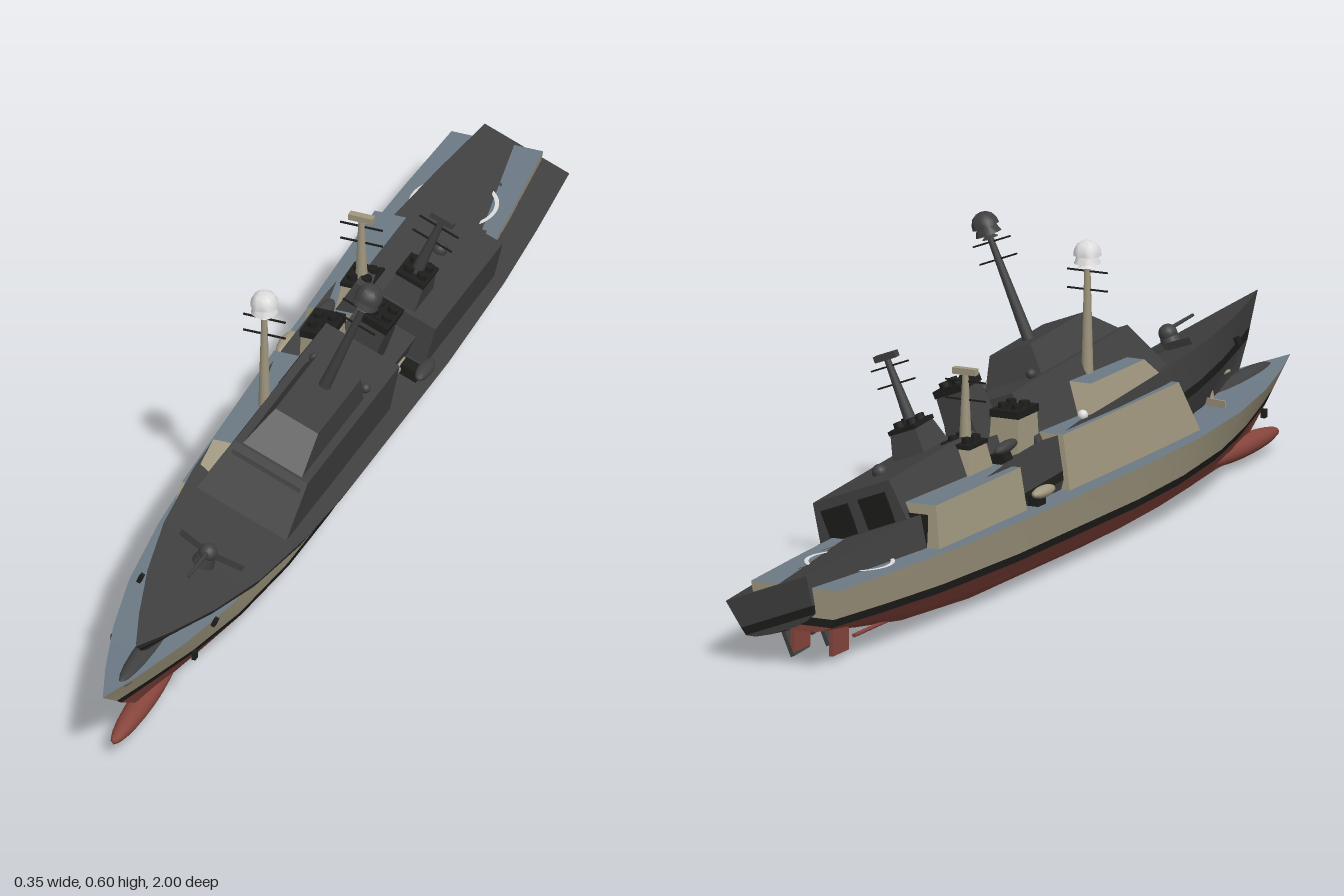
import * as THREE from 'three';
import { toCreasedNormals } from 'three/addons/utils/BufferGeometryUtils.js';

const paint = (name, color) => {
  const m = new THREE.MeshStandardMaterial({ color, side: THREE.DoubleSide });
  m.name = name;
  return m;
};

// Hull lines, bottom to deck: half-breadth, height amidships / bow / stern, bow end, fineness
const LINES = [
  { w: 0.045, y: 0.0, bow: 0.012, stern: 0.066, z: 0.76, p: 1.5 },
  { w: 0.092, y: 0.03, bow: 0.045, stern: 0.07, z: 0.83, p: 1.3 },
  { w: 0.115, y: 0.064, bow: 0.093, stern: 0.078, z: 0.905, p: 1.15 },
  { w: 0.119, y: 0.08, bow: 0.112, stern: 0.094, z: 0.93, p: 1.1 },
  { w: 0.13, y: 0.145, bow: 0.163, stern: 0.15, z: 1.0, p: 1 },
];
const PLAN = [[0, 0.7], [0.1, 0.83], [0.2, 0.93], [0.35, 1], [0.6, 1], [0.7, 0.95],
  [0.8, 0.8], [0.88, 0.56], [0.95, 0.26], [1, 0]];
const STERN = -0.99;

// Point on hull line i at plan station k, on side s
function hullPoint(i, k, s) {
  const L = LINES[i], [t, f] = PLAN[k];
  const fore = Math.max(0, (t - 0.55) / 0.45) ** 2;
  const aft = Math.max(0, (0.3 - t) / 0.3) ** 1.4;
  const y = L.y + (L.bow - L.y) * fore + (L.stern - L.y) * aft;
  return [s * L.w * f ** L.p, y, STERN + (L.z - STERN) * t];
}

// Plates lofted along the hull; each path is a list of [line, side]; cap closes the transom
function hullGeometry(paths, cap) {
  const pos = [], idx = [];
  for (const path of paths) {
    const base = pos.length / 3, n = path.length;
    for (let k = 0; k < PLAN.length; k++) for (const [i, s] of path) pos.push(...hullPoint(i, k, s));
    for (let k = 0; k < PLAN.length - 1; k++) for (let j = 0; j < n - 1; j++) {
      const a = base + k * n + j;
      idx.push(a, a + 1, a + n, a + 1, a + n + 1, a + n);
    }
  }
  if (cap) {
    const base = pos.length / 3;
    for (const [i, s] of cap) pos.push(...hullPoint(i, 0, s));
    for (let j = 1; j < cap.length - 1; j++) idx.push(base, base + j + 1, base + j);
  }
  const g = new THREE.BufferGeometry();
  g.setAttribute('position', new THREE.Float32BufferAttribute(pos, 3));
  g.setIndex(idx);
  return toCreasedNormals(g, 0.35);
}

// Box with separate bottom and top rectangles, each [half width, back z, front z]
function taperedBox(y0, y1, bottom, top) {
  const g = new THREE.BoxGeometry(1, 1, 1), p = g.attributes.position;
  for (let i = 0; i < p.count; i++) {
    const up = p.getY(i) > 0, [w, zb, zf] = up ? top : bottom;
    p.setXYZ(i, Math.sign(p.getX(i)) * w, up ? y1 : y0, p.getZ(i) > 0 ? zf : zb);
  }
  g.computeVertexNormals();
  return g;
}

function buildShip(c) {
  const ship = new THREE.Group();
  const add = (name, geo, mat, x = 0, y = 0, z = 0) => {
    const m = new THREE.Mesh(geo, mat);
    m.name = name;
    m.position.set(x, y, z);
    ship.add(m);
    return m;
  };
  const box = (name, mat, w, h, d, x, y, z) => add(name, new THREE.BoxGeometry(w, h, d), mat, x, y, z);
  const rod = (name, mat, rt, rb, h, x, y, z, n = 12) => add(name, new THREE.CylinderGeometry(rt, rb, h, n), mat, x, y, z);
  const house = (name, ...args) => add(name, taperedBox(...args), [c.side, c.side, c.deck, c.side, c.side, c.side]);

  // Hull
  const band = (a, b) => [[[a, -1], [b, -1]], [[b, 1], [a, 1]]];
  const quad = (a, b) => [[a, -1], [a, 1], [b, 1], [b, -1]];
  const under = [[2, -1], [1, -1], [0, -1], [0, 1], [1, 1], [2, 1]];
  add('underwaterHull', hullGeometry([under], under), c.bottom);
  add('waterlineStripe', hullGeometry(band(2, 3), quad(2, 3)), c.stripe);
  add('topsides', hullGeometry(band(3, 4), quad(3, 4)), c.side);
  add('deck', hullGeometry([[[4, 1], [4, -1]]]), c.deck);
  const bulb = add('bowBulb', new THREE.SphereGeometry(1, 20, 14), c.bottom, 0, 0.03, 0.79);
  bulb.scale.set(0.023, 0.021, 0.16);

  // Forward deckhouse, bridge and hangar
  house('forwardDeckhouse', 0.13, 0.247, [0.1, -0.075, 0.46], [0.079, -0.065, 0.4]);
  house('bridge', 0.245, 0.303, [0.064, 0.08, 0.395], [0.046, 0.11, 0.325]);
  house('hangar', 0.13, 0.226, [0.1, -0.6, -0.245], [0.086, -0.59, -0.25]);
  house('midDeckhouse', 0.13, 0.19, [0.06, -0.25, -0.07], [0.06, -0.25, -0.07]);
  const windows = box('frontWindows', c.stripe, 0.145, 0.007, 0.004, 0, 0.231, 0.411);
  windows.rotation.x = -0.55;
  for (const s of [-1, 1]) box('hangarDoor', c.stripe, 0.06, 0.06, 0.004, s * 0.042, 0.178, -0.597);
  add('hangarDome', new THREE.SphereGeometry(0.015, 16, 10), c.dome, 0, 0.23, -0.47);

  // Funnels with four exhaust pipes each
  const exhausts = (y, z) => {
    for (const sx of [-1, 1]) for (const sz of [-1, 1])
      rod('exhaustPipe', c.stripe, 0.01, 0.01, 0.016, sx * 0.014, y, z + sz * 0.016);
  };
  house('forwardFunnel', 0.14, 0.288, [0.034, -0.16, -0.065], [0.028, -0.148, -0.07]);
  add('funnelCap', taperedBox(0.288, 0.302, [0.03, -0.15, -0.068], [0.03, -0.15, -0.068]), c.stripe);
  exhausts(0.303, -0.11);
  house('aftFunnel', 0.22, 0.272, [0.036, -0.36, -0.26], [0.028, -0.345, -0.275]);
  add('funnelCap', taperedBox(0.272, 0.28, [0.03, -0.347, -0.273], [0.03, -0.347, -0.273]), c.stripe);
  exhausts(0.282, -0.31);

  // Masts with cross yards
  const yards = (z, heights) => heights.forEach(y => box('yard', c.stripe, 0.084, 0.003, 0.003, 0, y, z));
  rod('mainMast', c.side, 0.006, 0.012, 0.21, 0, 0.4, 0.185, 8);
  yards(0.185, [0.461, 0.496]);
  rod('aftMast', c.side, 0.006, 0.013, 0.145, 0, 0.335, -0.305, 8);
  yards(-0.305, [0.357, 0.392]);
  box('aftRadarBar', c.side, 0.048, 0.012, 0.014, 0, 0.411, -0.305);

  // Radar dome on the main mast
  const profile = [[0, 0.503], [0.016, 0.503], [0.009, 0.509], [0.025, 0.511], [0.019, 0.526], [0.026, 0.526],
    [0.025, 0.536], [0.019, 0.547], [0.01, 0.553], [0, 0.555]];
  const lathe = new THREE.LatheGeometry(profile.map(p => new THREE.Vector2(...p)), 24);
  add('radarDome', toCreasedNormals(lathe, 0.6), c.dome, 0, 0, 0.185);

  // Foredeck gun and breakwater
  rod('gunBase', c.side, 0.018, 0.022, 0.02, 0, 0.162, 0.65, 16);
  add('gunTurret', new THREE.SphereGeometry(0.018, 16, 10), c.side, 0, 0.178, 0.65);
  rod('gunBarrel', c.side, 0.003, 0.004, 0.1, 0, 0.184, 0.705, 8).rotation.x = Math.PI / 2;

  for (const s of [-1, 1]) {
    const wall = box('breakwater', c.side, 0.065, 0.014, 0.004, s * 0.036, 0.158, 0.615);
    wall.rotation.y = s * 0.2;
    box('anchor', c.stripe, 0.008, 0.016, 0.012, s * 0.08, 0.115, 0.74);
    add('smallDome', new THREE.SphereGeometry(0.01, 14, 10), c.dome, s * 0.055, 0.255, 0.06);
    // Side boat on its cradle
    const boat = add('sideBoat', new THREE.SphereGeometry(1, 14, 10), c.side, s * 0.108, 0.172, -0.2);
    boat.scale.set(0.014, 0.011, 0.04);
    box('boatCradle', c.stripe, 0.04, 0.02, 0.03, s * 0.085, 0.155, -0.2);
    // Rudder and propeller shaft
    box('rudder', c.bottom, 0.008, 0.062, 0.065, s * 0.04, 0.037, -0.89);
    rod('propellerShaft', c.bottom, 0.004, 0.004, 0.22, s * 0.04, 0.026, -0.72, 8).rotation.x = Math.PI / 2;
  }

  // Landing circle on the aft deck
  const ring = add('landingCircle', new THREE.RingGeometry(0.076, 0.084, 40), c.mark, 0, 0.1505, -0.77);
  ring.rotation.x = -Math.PI / 2;
  return ship;
}

export function createModel() {
  const beige = paint('beige', 0xa0977f), red = paint('antifoulingRed', 0x86453c);
  const deckGrey = paint('deckGrey', 0x6c7a85), black = paint('black', 0x1d1e1c);
  const white = paint('white', 0xdcdcdc), dark = paint('darkGrey', 0x404040);

  const model = new THREE.Group();
  const upright = buildShip({ side: beige, bottom: red, deck: deckGrey, stripe: black, dome: white, mark: white });
  upright.name = 'uprightShip';
  upright.position.x = -0.049;

  // Second ship, heeled over with its bow raised
  const heeled = buildShip({ side: dark, bottom: dark, deck: dark, stripe: black, dome: dark, mark: dark });
  heeled.name = 'heeledShip';
  heeled.rotation.set(-0.065, 0, -0.375);
  heeled.position.set(-0.049, 0.066, -0.003);

  model.add(upright, heeled);
  return model;
}
